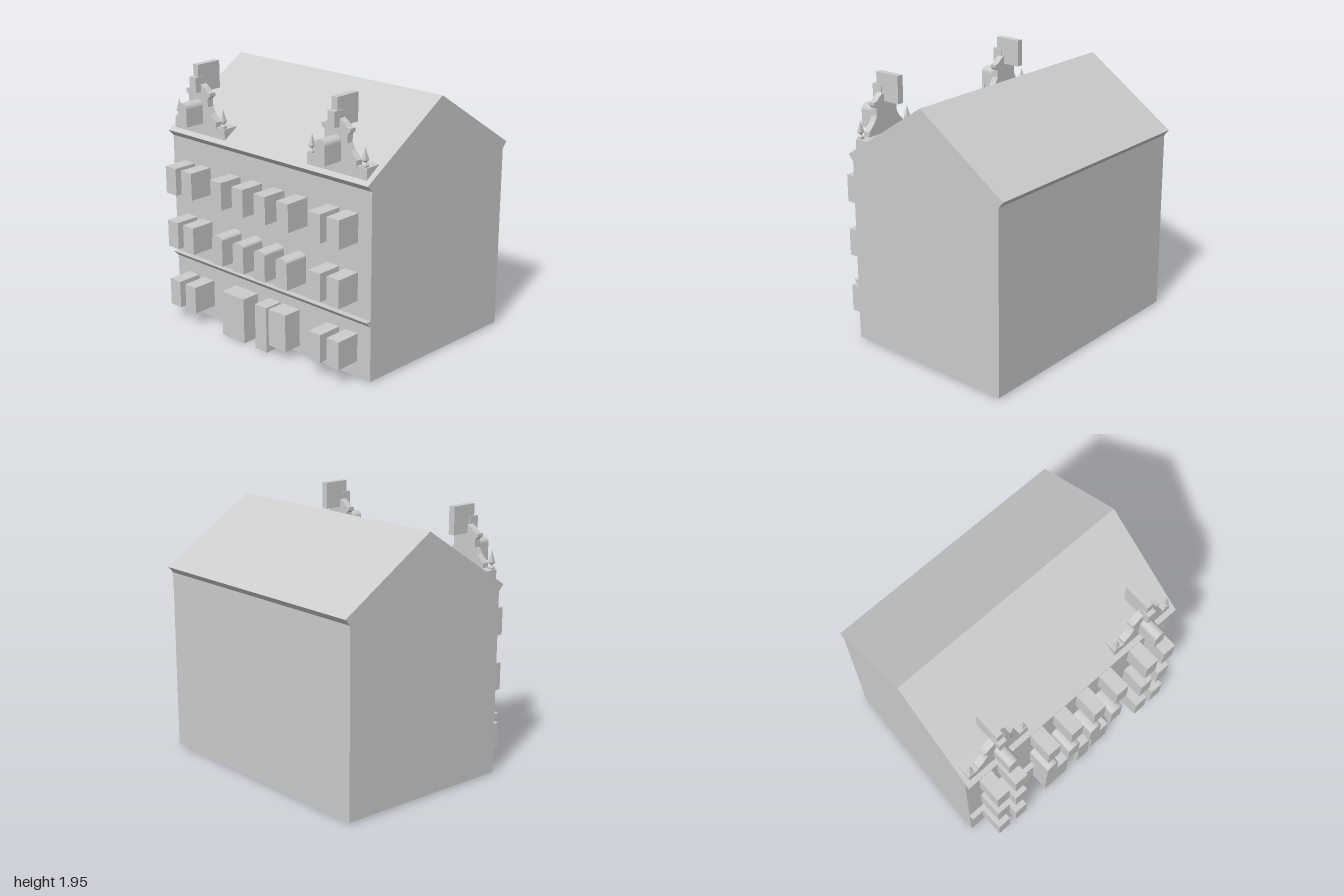
import * as THREE from 'three';

const stone = new THREE.MeshStandardMaterial({ color: 0xcccccc });
stone.name = 'pale stone';

function add(parent, name, geometry) {
  const mesh = new THREE.Mesh(geometry, stone);
  mesh.name = name;
  parent.add(mesh);
  return mesh;
}

// Box given by its limits on each axis
function block(parent, name, x0, x1, y0, y1, z0, z1) {
  const g = new THREE.BoxGeometry(x1 - x0, y1 - y0, z1 - z0);
  g.translate((x0 + x1) / 2, (y0 + y1) / 2, (z0 + z1) / 2);
  return add(parent, name, g);
}

// Extrude a front-facing (x, y) outline between two depths
function slab(parent, name, shape, z0, z1) {
  const g = new THREE.ExtrudeGeometry(shape, { depth: z1 - z0, bevelEnabled: false, curveSegments: 12 });
  g.translate(0, 0, z0);
  return add(parent, name, g);
}

// Sweep a (z, y) side profile across the house, whose plan is slightly skewed
function sweep(parent, name, profile) {
  const shape = new THREE.Shape(profile.map(([z, y]) => new THREE.Vector2(z, y)));
  const g = new THREE.ExtrudeGeometry(shape, { depth: 1.935, bevelEnabled: false });
  g.rotateY(-Math.PI / 2).translate(0.935, 0, 0);
  const k = 0.045;
  g.applyMatrix4(new THREE.Matrix4().set(
    1, 0, -k, 0.645 * k,
    0, 1, 0, 0,
    0, 0, 1, 0,
    0, 0, 0, 1));
  return add(parent, name, g);
}

// Window outline with a curved head
function archShape(x0, x1, y0, spring, top) {
  const s = new THREE.Shape();
  const m = (x0 + x1) / 2, h = top - spring;
  s.moveTo(x0, y0);
  s.lineTo(x1, y0);
  s.lineTo(x1, spring);
  s.absellipse(m, spring, (x1 - x0) / 2, h, 0, Math.PI, false);
  s.lineTo(x0, y0);
  return s;
}

function buildGable(x) {
  const gable = new THREE.Group();
  gable.name = 'gable';
  gable.position.x = x;
  block(gable, 'gableBase', -0.262, 0.265, 1.41, 1.52, 0.49, 0.612);

  // Stepped and scrolled front, mirrored about its centre
  const half = [[0.18, 1.5], [0.18, 1.555], [0.125, 1.61], [0.1, 1.655], [0.1, 1.715],
    [0.125, 1.733], [0.125, 1.757], [0.095, 1.762], [0.065, 1.79], [0.035, 1.81]];
  const outline = [...half, ...half.map(([a, b]) => [-a, b]).reverse()];
  slab(gable, 'gableFront', new THREE.Shape(outline.map(([a, b]) => new THREE.Vector2(a, b))), 0.563, 0.615);

  slab(gable, 'atticWindow', archShape(-0.044, 0.044, 1.525, 1.655, 1.697), 0.57, 0.77);
  block(gable, 'gablePost', -0.025, 0.025, 1.75, 1.953, 0.425, 0.63);
  block(gable, 'keystone', -0.032, 0.032, 1.755, 1.865, 0.58, 0.662);

  // Four-sided finials at the corners
  const r = Math.SQRT2;
  const profile = [[0, 1.515], [0.018, 1.515], [0.018, 1.535], [0.007, 1.548], [0.007, 1.556],
    [0.018, 1.567], [0.016, 1.58], [0.005, 1.63], [0, 1.657]];
  for (const dx of [-0.234, 0.234]) {
    const g = new THREE.LatheGeometry(
      profile.map(([a, b]) => new THREE.Vector2(a * r, b)), 4, Math.PI / 4).toNonIndexed();
    g.computeVertexNormals();
    add(gable, 'finial', g).position.set(dx, 0, 0.592);
  }
  return gable;
}

export function createModel() {
  const house = new THREE.Group();
  house.name = 'townHouse';

  // Walls, eaves and roof in one profile, plus the band above the ground floor
  sweep(house, 'houseBody', [[0.605, 0.01], [0.605, 1.37], [0.648, 1.415], [-0.07, 1.886],
    [-0.793, 1.415], [-0.755, 1.37], [-0.755, 0.01]].reverse());
  sweep(house, 'stringCourse', [[0.59, 0.415], [0.605, 0.415], [0.645, 0.455], [0.645, 0.46], [0.59, 0.46]]);

  // Square windows of the outer bays on three floors
  const outer = [-0.877, -0.71, 0.545, 0.712];
  const w = 0.108, z0 = 0.595, z1 = 0.795;
  for (const x of outer) {
    block(house, 'upperWindow', x, x + w, 0.993, 1.198, z0, z1);
    block(house, 'middleWindow', x, x + w, 0.575, 0.78, z0, z1);
    const y = x < 0 ? 0.108 : 0.128;
    block(house, 'groundWindow', x, x + w, y, y + 0.205, z0, z1);
  }

  // Four central windows, arched on the middle floor
  for (let i = 0; i < 4; i++) {
    const xu = -0.4 + i * 0.218;
    block(house, 'upperCentreWindow', xu, xu + w, 0.993, 1.198, z0, z1);
    const xm = -0.4 + i * 0.2135;
    slab(house, 'archedWindow', archShape(xm, xm + 0.105, 0.567, 0.762, 0.79), z0, z1);
  }

  // Ground floor entrances and shop window
  block(house, 'wideDoor', -0.36, -0.135, 0, 0.345, 0.55, 0.75);
  block(house, 'narrowDoor', -0.02, 0.092, 0, 0.345, 0.55, 0.75);
  block(house, 'shopWindow', 0.116, 0.28, 0.067, 0.345, 0.55, 0.75);

  house.add(buildGable(-0.699), buildGable(0.63));
  return house;
}
